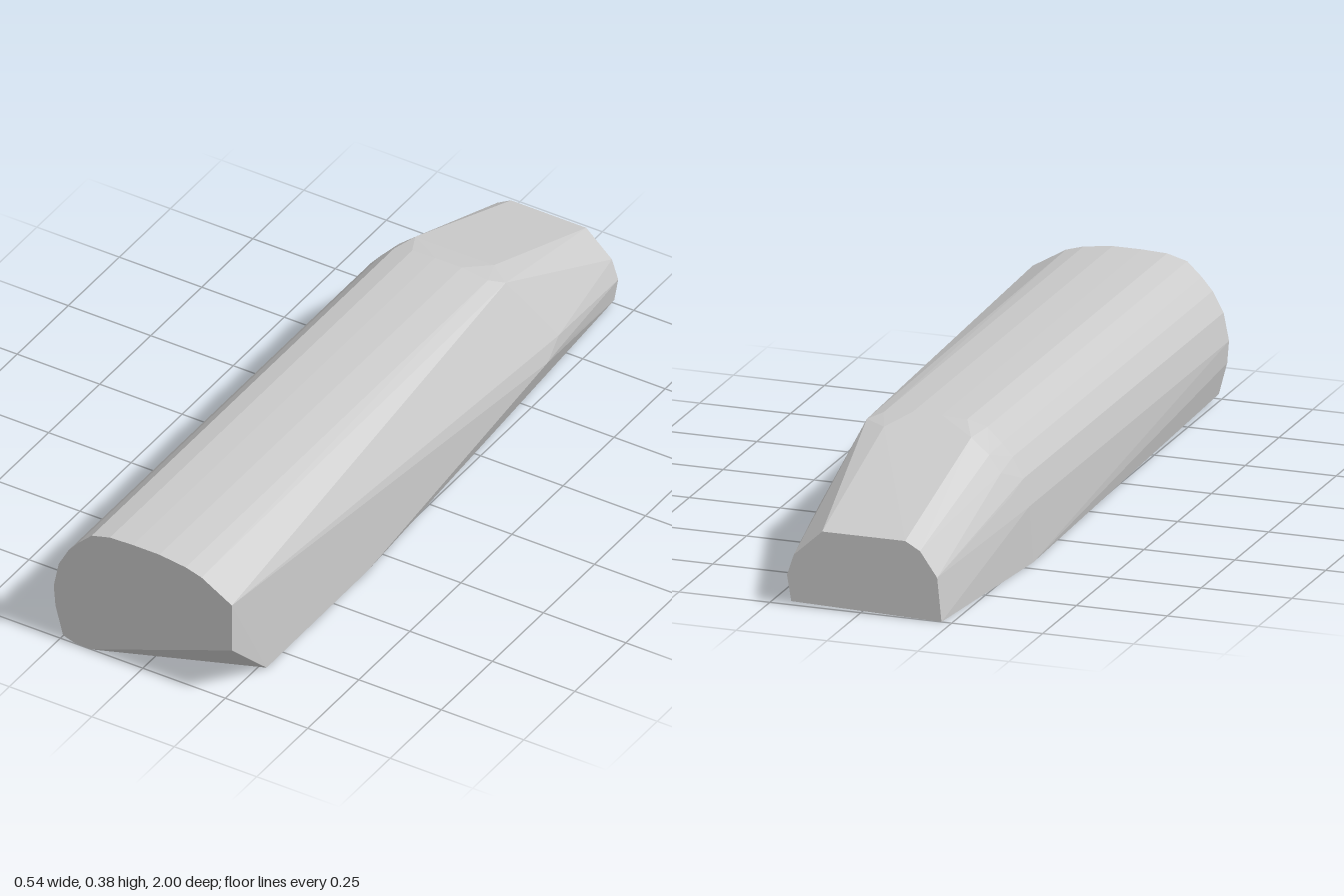
import * as THREE from 'three';
import { ConvexGeometry } from 'three/addons/geometries/ConvexGeometry.js';

// Rounded outline shared by the front end and the shoulder: from low left over the top
const arch = [
  [-0.27, 0.16], [-0.255, 0.235], [-0.225, 0.29], [-0.195, 0.325], [-0.155, 0.363], [-0.10, 0.378],
  [-0.03, 0.381], [0.05, 0.381], [0.13, 0.371],
];

const at = (z, outline) => outline.map(([x, y]) => new THREE.Vector3(x, y, z));

export function createModel() {
  const group = new THREE.Group();
  group.name = 'taperedBlock';

  const points = [
    // front end, with its lower right corner cut away
    ...at(1, arch),
    ...at(1, [[0.178, 0.357], [0.27, 0.303], [0.27, 0.16], [-0.157, 0], [-0.205, 0.001], [-0.242, 0.013], [-0.265, 0.1]]),
    // flat underside corners
    ...at(0.83, [[0.27, 0]]),
    ...at(0.33, [[0.268, 0]]),
    ...at(-0.45, [[-0.27, 0]]),
    // shoulder where the taper starts
    ...at(-0.48, arch),
    ...at(-0.51, [[0.165, 0.358]]),
    // softened step just behind the shoulder
    ...at(-0.56, [[-0.25, 0.21], [-0.222, 0.27], [-0.19, 0.315], [-0.14, 0.357], [0.1, 0.359], [0.262, 0.11]]),
    ...at(-0.63, [[0.254, 0.11], [0.252, 0.15]]),
    // small back end
    ...at(-1, [
      [-0.222, 0], [-0.21, 0.118], [-0.163, 0.185], [-0.122, 0.208], [0.106, 0.208],
      [0.184, 0.137], [0.203, 0.08], [0.191, 0.01],
    ]),
  ];

  const body = new THREE.Mesh(
    new ConvexGeometry(points),
    new THREE.MeshStandardMaterial({ color: 0xcccccc, flatShading: true })
  );
  body.name = 'body';
  group.add(body);
  return group;
}
